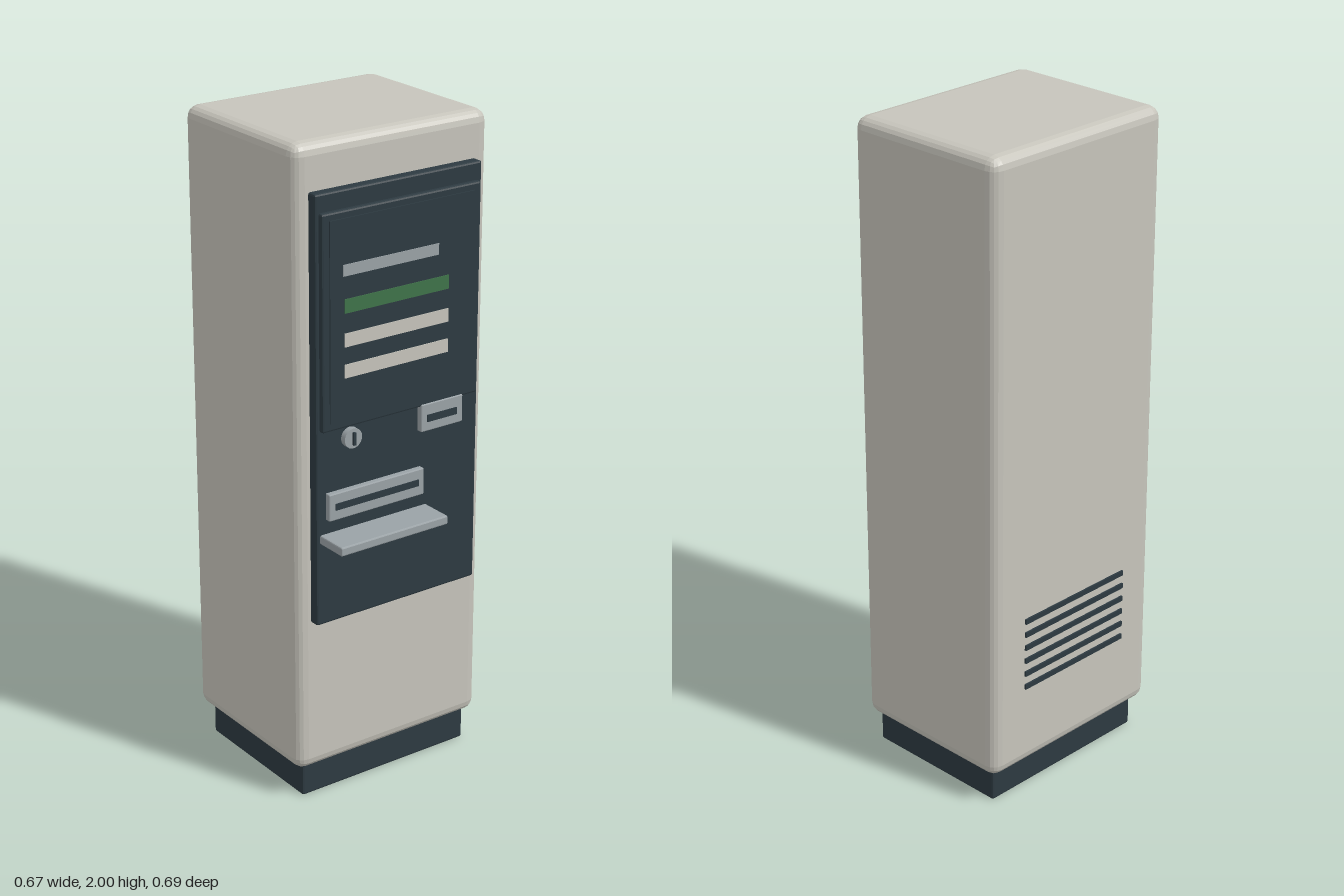
import * as THREE from 'three';
import { RoundedBoxGeometry } from 'three/addons/geometries/RoundedBoxGeometry.js';

const material = (name, color) => {
  const m = new THREE.MeshStandardMaterial({ color });
  m.name = name;
  return m;
};

export function createModel() {
  const model = new THREE.Group();
  model.name = 'ticketMachine';
  const casing = material('warm grey casing', 0xc6c4bb);
  const dark = material('dark slate', 0x2d3a41);
  const metal = material('brushed metal', 0x9aa2a6);
  const green = material('green', 0x3f7349);

  // Box given by its limits on each axis; bevel > 0 rounds its edges in flat facets
  function box(name, mat, [x0, x1], [y0, y1], [z0, z1], bevel = 0, segments = 1) {
    const size = [x1 - x0, y1 - y0, z1 - z0];
    const geo = bevel
      ? new RoundedBoxGeometry(...size, segments, bevel)
      : new THREE.BoxGeometry(...size);
    if (bevel) geo.computeVertexNormals();
    const mesh = new THREE.Mesh(geo, mat);
    mesh.name = name;
    mesh.position.set((x0 + x1) / 2, (y0 + y1) / 2, (z0 + z1) / 2);
    model.add(mesh);
    return mesh;
  }

  // Cabinet on a recessed plinth
  box('cabinet', casing, [-0.333, 0.333], [0.1, 2], [-0.337, 0.208], 0.036, 2);
  box('plinth', dark, [-0.3, 0.3], [0, 0.13], [-0.3, 0.18], 0.006);

  // Layered front panel
  box('frontPanel', dark, [-0.286, 0.284], [0.583, 1.865], [0.19, 0.238], 0.006);
  box('screenBezel', dark, [-0.274, 0.271], [1.18, 1.812], [0.23, 0.253], 0.006);
  box('screen', dark, [-0.25, 0.248], [1.205, 1.79], [0.25, 0.257]);

  // Lines shown on the screen
  box('headingLine', metal, [-0.208, 0.12], [1.627, 1.66], [0.255, 0.2595]);
  box('selectedLine', green, [-0.203, 0.157], [1.52, 1.561], [0.255, 0.2595]);
  for (const y of [1.442, 1.351]) {
    box('textLine', casing, [-0.203, 0.157], [y - 0.02, y + 0.02], [0.255, 0.2595]);
  }

  // Round coin inlet with an upright slot
  const coinInlet = new THREE.Mesh(new THREE.CylinderGeometry(0.03, 0.03, 0.02, 24), metal);
  coinInlet.name = 'coinInlet';
  coinInlet.rotation.x = Math.PI / 2;
  coinInlet.position.set(-0.171, 1.144, 0.246);
  model.add(coinInlet);
  box('coinSlot', dark, [-0.175, -0.167], [1.125, 1.163], [0.255, 0.264]);

  // Card reader and ticket outlet
  box('cardReader', metal, [0.068, 0.217], [1.103, 1.187], [0.23, 0.256], 0.003);
  box('cardSlot', dark, [0.088, 0.195], [1.131, 1.153], [0.252, 0.258]);
  box('ticketOutlet', metal, [-0.254, 0.08], [0.909, 0.991], [0.23, 0.256], 0.003);
  box('ticketSlot', dark, [-0.234, 0.06], [0.94, 0.96], [0.252, 0.259]);

  // Shelf below the ticket outlet
  box('shelf', metal, [-0.274, 0.102], [0.839, 0.866], [0.22, 0.342], 0.004);

  // Ventilation slots on the back
  for (let i = 0; i < 6; i++) {
    const y = 0.366 + i * 0.0434;
    box('ventSlot', dark, [-0.207, 0.207], [y - 0.008, y + 0.008], [-0.343, -0.334]);
  }
  return model;
}
